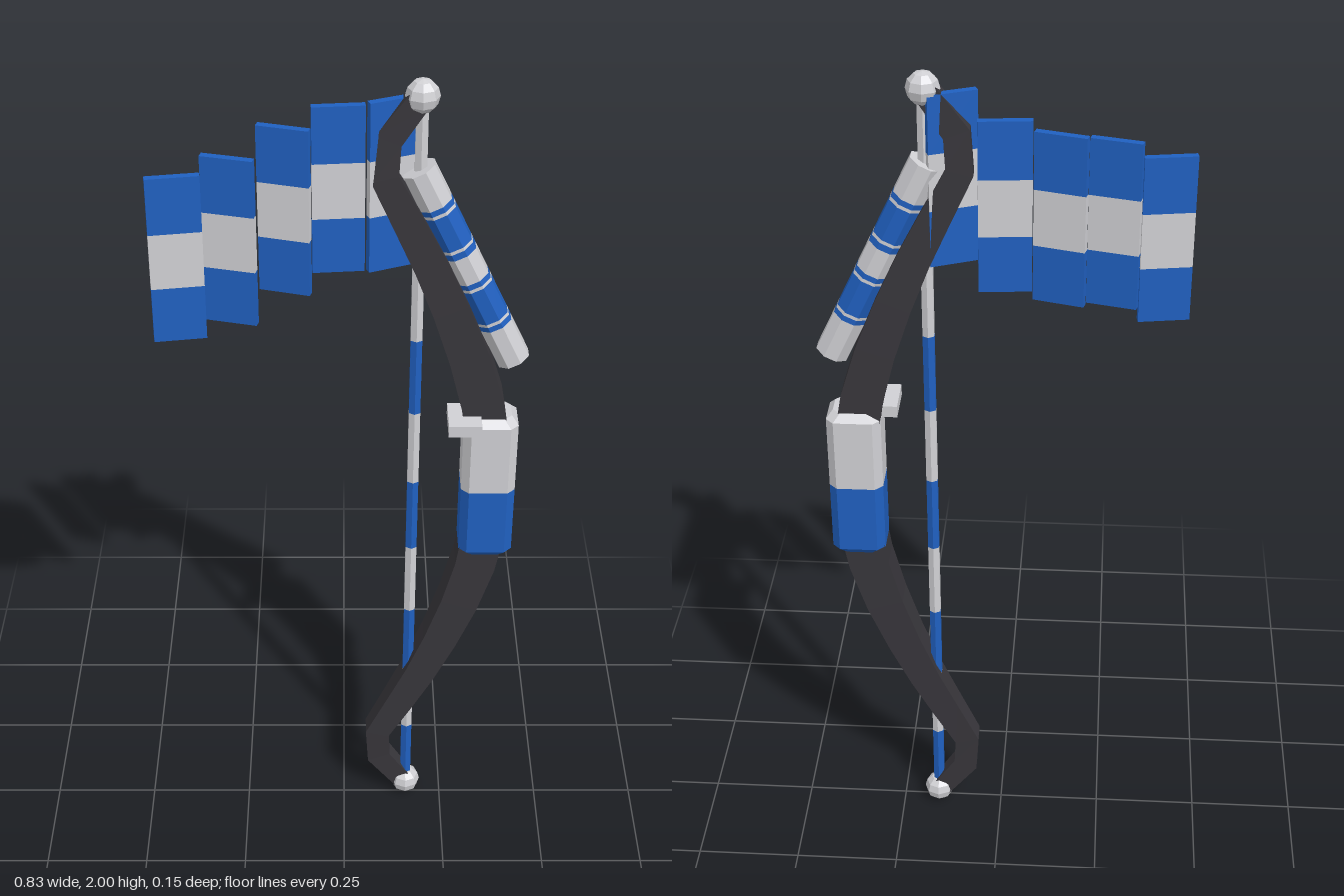
import * as THREE from 'three';

const mat = (name, color, flatShading = true) => {
  const m = new THREE.MeshStandardMaterial({ color, flatShading });
  m.name = name;
  return m;
};

// Closed flat-faced solid through rings of [x, y, z], counter-clockwise from the end of the path
function loft(rings) {
  const n = rings[0].length, index = [];
  for (let i = 0; i < rings.length - 1; i++) {
    for (let j = 0; j < n; j++) {
      const a = i * n + j, b = i * n + (j + 1) % n;
      index.push(a, b, b + n, a, b + n, a + n);
    }
  }
  const top = (rings.length - 1) * n;
  for (let j = 1; j < n - 1; j++) index.push(0, j + 1, j, top, top + j, top + j + 1);
  const g = new THREE.BufferGeometry();
  g.setAttribute('position', new THREE.Float32BufferAttribute(rings.flat(2), 3));
  g.setIndex(index);
  const flat = g.toNonIndexed();
  flat.computeVertexNormals();
  return flat;
}

export function createModel() {
  const model = new THREE.Group();
  model.name = 'bow';
  const blue = mat('blue', 0x2060c0);
  const light = mat('light grey', 0xd0d0d4);
  const dark = mat('dark limb', 0x38363b);
  const Z = -0.01; // plane of the bow

  const add = (name, geometry, material, parent = model) => {
    const mesh = new THREE.Mesh(geometry, material);
    mesh.name = name;
    parent.add(mesh);
    return mesh;
  };

  // Recurved limbs: x, y, width, half depth from lower tip to middle, then mirrored
  const lower = [
    [0.155, 0.04, 0.05, 0.018], [0.09, 0.13, 0.06, 0.021], [0.085, 0.215, 0.06, 0.025],
    [0.138, 0.32, 0.068, 0.028], [0.187, 0.42, 0.075, 0.031], [0.234, 0.53, 0.082, 0.034],
    [0.278, 0.65, 0.09, 0.037], [0.312, 0.77, 0.096, 0.039], [0.33, 0.88, 0.1, 0.04],
  ];
  const path = [...lower, ...lower.map(([x, y, w, d]) => [x, 2 - y, w, d]).reverse()];
  const rings = path.map(([x, y, w, d], i) => {
    const a = path[Math.max(i - 1, 0)], b = path[Math.min(i + 1, path.length - 1)];
    const t = new THREE.Vector2(b[0] - a[0], b[1] - a[1]).normalize();
    return [[1, 1], [1, -1], [-1, -1], [-1, 1]].map(([s, k]) =>
      [x + s * t.y * w / 2, y - s * t.x * w / 2, Z + k * d]);
  });
  add('limbs', loft(rings), dark);

  // Chamfered two-tone grip
  const gripRing = (y, inset) => {
    const hx = 0.0625 - inset, hz = 0.055 - inset, c = 0.018;
    return [[hx, hz - c], [hx, c - hz], [hx - c, -hz], [c - hx, -hz],
      [-hx, c - hz], [-hx, hz - c], [c - hx, hz], [hx - c, hz]]
      .map(([x, z]) => [0.333 + x, y, Z + z]);
  };
  add('gripLower', loft([gripRing(0.81, 0.015), gripRing(0.828, 0), gripRing(1, 0)]), blue);
  add('gripUpper', loft([gripRing(1, 0), gripRing(1.178, 0), gripRing(1.196, 0.015)]), light);

  // Arrow rest
  add('arrowRest', new THREE.BoxGeometry(0.075, 0.028, 0.1), light).position.set(0.272, 1.19, 0.023);

  // Striped string
  const string = new THREE.Group();
  string.name = 'string';
  model.add(string);
  const step = 0.192;
  for (let i = 0; i < 10; i++) {
    add('stringSegment', new THREE.CylinderGeometry(0.015, 0.015, step, 6), i % 2 ? light : blue, string)
      .position.set(0.16, 0.04 + (i + 0.5) * step, Z);
  }

  // Tip knobs
  for (const y of [0.037, 1.963]) {
    add('tipKnob', new THREE.SphereGeometry(0.037, 8, 6), light).position.set(0.16, y, Z);
  }

  // Octagonal banded rod on the upper limb
  const rod = new THREE.Group();
  rod.name = 'bandedRod';
  const from = new THREE.Vector3(0.156, 1.8, Z), to = new THREE.Vector3(0.378, 1.335, Z);
  const length = from.distanceTo(to);
  rod.position.copy(from);
  rod.quaternion.setFromUnitVectors(new THREE.Vector3(0, 1, 0), to.clone().sub(from).normalize());
  model.add(rod);
  const stops = [0, 0.17, 0.195, 0.21, 0.375, 0.39, 0.42, 0.55, 0.575, 0.59, 0.76, 0.775, 0.8, 1];
  for (let i = 0; i < stops.length - 1; i++) {
    const h = (stops[i + 1] - stops[i]) * length;
    const g = new THREE.CylinderGeometry(0.039, 0.039, h, 8);
    g.rotateY(Math.PI / 8);
    add('rodBand', g, i % 2 ? blue : light, rod).position.y = stops[i] * length + h / 2;
  }

  // Banner of five turned panels: x and z at both ends, top height
  const panels = [
    [-0.415, 0.046, -0.301, 0.028, 1.805], [-0.299, 0.013, -0.188, 0.041, 1.843],
    [-0.184, -0.053, -0.073, -0.022, 1.881], [-0.07, -0.057, 0.044, -0.067, 1.919],
    [0.05, 0.01, 0.152, -0.032, 1.957],
  ];
  for (const [x0, z0, x1, z1, top] of panels) {
    const panel = new THREE.Group();
    panel.name = 'bannerPanel';
    panel.position.set((x0 + x1) / 2, top, (z0 + z1) / 2);
    panel.rotation.y = -Math.atan2(z1 - z0, x1 - x0);
    model.add(panel);
    const width = Math.hypot(x1 - x0, z1 - z0);
    for (let i = 0; i < 3; i++) {
      add('bannerStripe', new THREE.BoxGeometry(width, 0.13, 0.017), i === 1 ? light : blue, panel)
        .position.y = -0.13 * (i + 0.5);
    }
  }
  return model;
}
